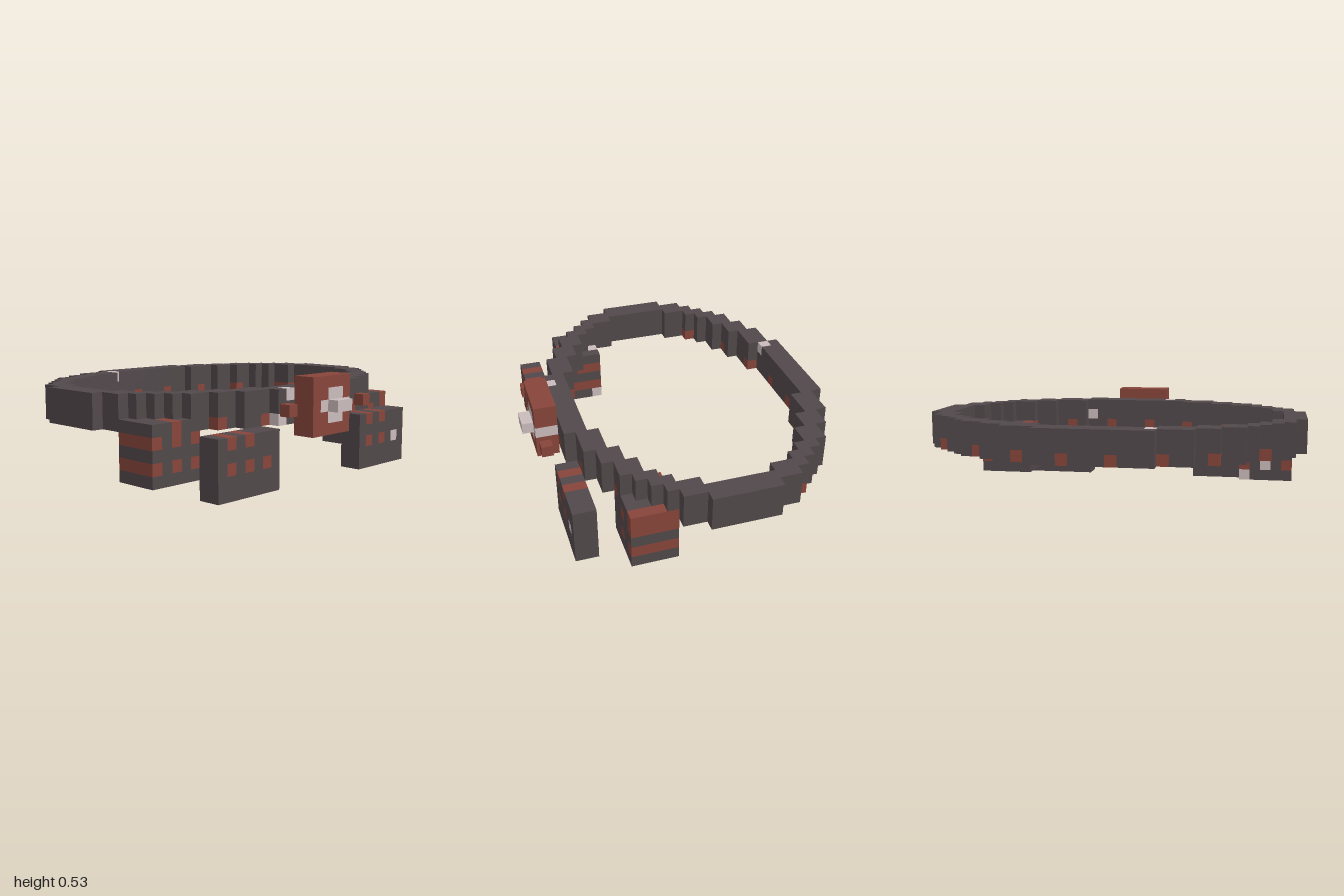
import * as THREE from 'three';

// Block grid: 34 wide (i), 9 high (j), 27 deep (k)
const U = 1 / 17, X0 = -1, Z0 = -13.5 * U;

const material = (name, color) => {
  const m = new THREE.MeshStandardMaterial({ color });
  m.name = name;
  return m;
};

// Outward face of a unit block: direction and four corners, counter-clockwise
const FACES = [
  [[1, 0, 0], [[1, 0, 1], [1, 0, 0], [1, 1, 0], [1, 1, 1]]],
  [[-1, 0, 0], [[0, 0, 0], [0, 0, 1], [0, 1, 1], [0, 1, 0]]],
  [[0, 1, 0], [[0, 1, 1], [1, 1, 1], [1, 1, 0], [0, 1, 0]]],
  [[0, -1, 0], [[0, 0, 0], [1, 0, 0], [1, 0, 1], [0, 0, 1]]],
  [[0, 0, 1], [[0, 0, 1], [1, 0, 1], [1, 1, 1], [0, 1, 1]]],
  [[0, 0, -1], [[1, 0, 0], [0, 0, 0], [0, 1, 0], [1, 1, 0]]],
];

export function createModel() {
  const root = new THREE.Group();
  root.name = 'utilityBelt';
  const mats = {
    dark: material('darkLeather', 0x51484a),
    red: material('rustRed', 0x87453a),
    light: material('paleMetal', 0xcabbbb),
  };
  const taken = new Set();
  const parts = [];

  // A part is a set of block ranges [i0,i1,j0,j1,k0,k1] and a colour rule
  const addPart = (name, ranges, paint) => {
    const cells = [];
    for (const [i0, i1, j0, j1, k0, k1] of ranges)
      for (let i = i0; i < i1; i++)
        for (let j = j0; j < j1; j++)
          for (let k = k0; k < k1; k++) {
            const key = `${i},${j},${k}`;
            if (taken.has(key)) continue;
            taken.add(key);
            cells.push([i, j, k, paint(i, j, k)]);
          }
    parts.push({ name, cells });
  };

  // Belt: stepped oval ring, mirrored left/right and front/back
  const rows = [[12, 22], [9, 25], [7, 12], [5, 9], [4, 7], [3, 5], [2, 4],
    [1, 3], [1, 3], [0, 2], [0, 2], [0, 2]];
  const ring = [];
  rows.forEach(([a, b], k) => {
    for (const r of [k, 23 - k])
      ring.push([a, b, 5, 8, r, r + 1], [34 - b, 34 - a, 5, 8, r, r + 1]);
  });
  const studs = new Set(['12,5,23', '13,7,23', '12,7,1', '21,6,22']);
  addPart('belt', ring, (i, j, k) =>
    studs.has(`${i},${j},${k}`) ? 'light' : j === 5 && i % 4 === 3 ? 'red' : 'dark');

  // Front pouches with rows of spots
  addPart('rightFrontPouch', [[4, 11, 0, 5, 23, 25]], (i, j) =>
    (j === 4 && (i === 5 || i === 7)) || (j === 2 && [5, 7, 9].includes(i)) ? 'red' : 'dark');
  addPart('leftFrontPouch', [[22, 29, 0, 5, 23, 25]], (i, j) =>
    j === 2 && i === 27 ? 'light'
      : (j === 4 || j === 2) && (i === 23 || i === 25) ? 'red' : 'dark');

  // Side pouches with striped sides
  const sidePaint = (columns, pale) => (i, j, k) =>
    pale.includes(`${i},${j},${k}`) ? 'light'
      : (j === 5 && i % 4 === 3) || ((j === 4 || j === 2) && columns.includes(i)) ? 'red' : 'dark';
  addPart('rightSidePouch', [[1, 6, 1, 6, 17, 21]],
    sidePaint([1, 3, 5], ['4,5,17', '4,4,17', '3,2,17', '5,1,17']));
  addPart('leftSidePouch', [[27, 32, 1, 6, 17, 21]], sidePaint([29, 31], ['30,1,19']));

  // Buckle with pale cross and raised knob
  addPart('buckle', [[14, 19, 4, 9, 24, 26]], (i, j) =>
    (j === 6 && i >= 15) || ((i === 16 || i === 17) && j >= 5 && j <= 7) ? 'light' : 'red');
  addPart('buckleKnob', [[16, 18, 6, 7, 26, 27]], () => 'light');

  // Small cubes beside the buckle
  addPart('rightCube', [[11, 12, 6, 7, 25, 26]], () => 'red');
  addPart('leftCube', [[21, 22, 6, 7, 25, 26]], () => 'red');

  // Turn each part into exposed block faces, one mesh per colour
  for (const { name, cells } of parts) {
    const group = new THREE.Group();
    group.name = name;
    for (const tone of Object.keys(mats)) {
      const pos = [], nor = [], idx = [];
      for (const [i, j, k, c] of cells) {
        if (c !== tone) continue;
        for (const [d, corners] of FACES) {
          if (taken.has(`${i + d[0]},${j + d[1]},${k + d[2]}`)) continue;
          const n = pos.length / 3;
          for (const [x, y, z] of corners) {
            pos.push(X0 + (i + x) * U, (j + y) * U, Z0 + (k + z) * U);
            nor.push(...d);
          }
          idx.push(n, n + 1, n + 2, n, n + 2, n + 3);
        }
      }
      if (!idx.length) continue;
      const geo = new THREE.BufferGeometry();
      geo.setAttribute('position', new THREE.Float32BufferAttribute(pos, 3));
      geo.setAttribute('normal', new THREE.Float32BufferAttribute(nor, 3));
      geo.setIndex(idx);
      const mesh = new THREE.Mesh(geo, mats[tone]);
      mesh.name = `${name} ${mats[tone].name}`;
      group.add(mesh);
    }
    root.add(group);
  }
  return root;
}
